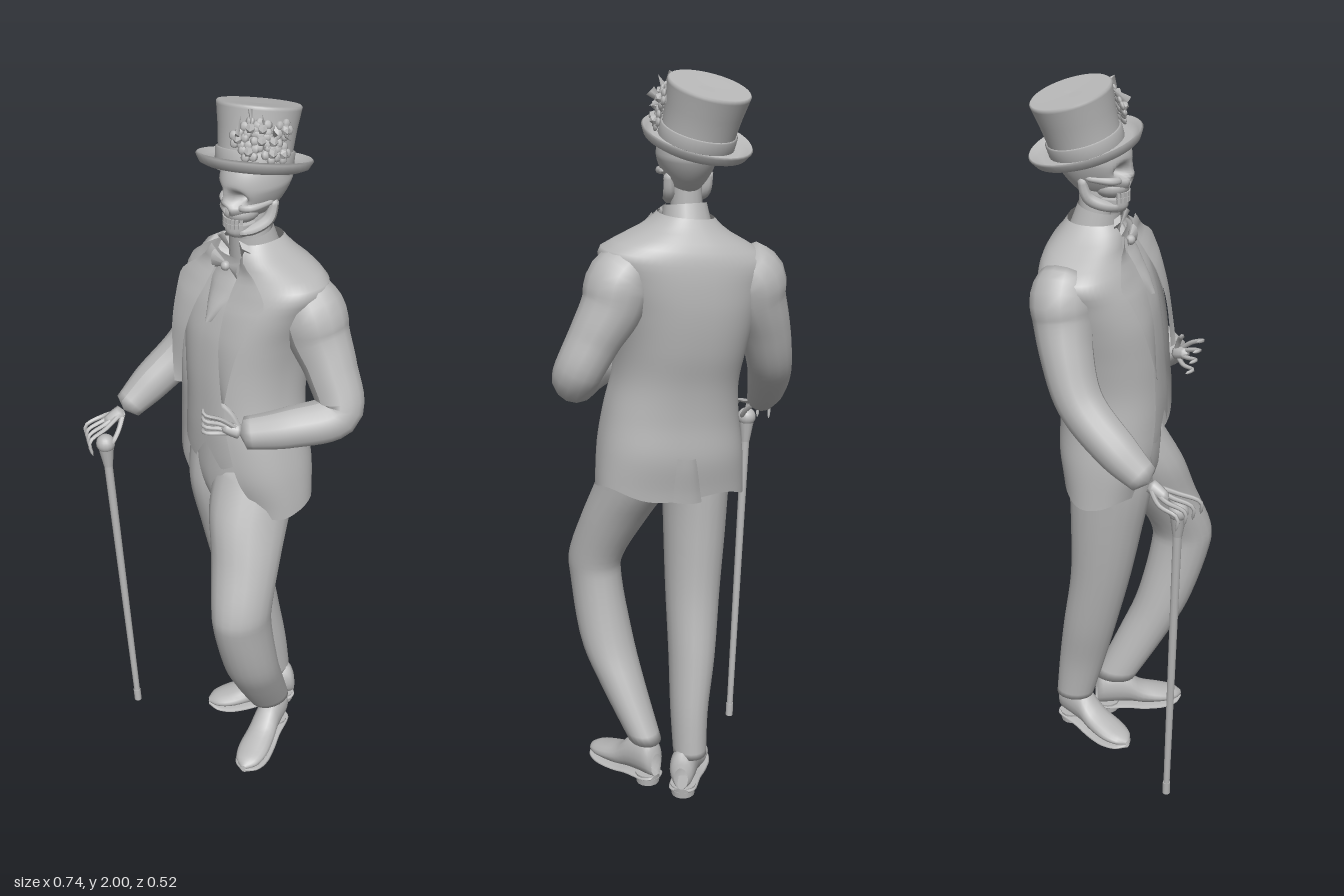
import * as THREE from 'three';

const cloth = new THREE.MeshStandardMaterial({ color: 0xb8b8b8, side: THREE.DoubleSide });
cloth.name = 'plain grey';
const V = (x, y, z) => new THREE.Vector3(x, y, z);

function add(parent, name, geo, pos) {
  const m = new THREE.Mesh(geo, cloth);
  m.name = name;
  if (pos) m.position.set(...pos);
  parent.add(m);
  return m;
}

// Smooth sample of a table of rows at a fractional row index
function at(rows, s) {
  const n = rows.length - 1, i = Math.min(n - 1, Math.max(0, Math.floor(s))), t = s - i;
  const [a, b, c, d] = [rows[Math.max(0, i - 1)], rows[i], rows[i + 1], rows[Math.min(n, i + 2)]];
  return b.map((p, k) => p + 0.5 * t * (c[k] - a[k] + t * (2 * a[k] - 5 * p + 4 * c[k] - d[k]
    + t * (3 * (p - c[k]) + d[k] - a[k]))));
}

// Grid surface from f(u, v); wrap joins the u direction
function grid(f, nu, nv, wrap = false) {
  const pos = [], idx = [], w = wrap ? nu : nu + 1;
  for (let j = 0; j <= nv; j++) for (let i = 0; i < w; i++) pos.push(...f(i / nu, j / nv));
  for (let j = 0; j < nv; j++) for (let i = 0; i < nu; i++) {
    const a = j * w + i, b = j * w + (i + 1) % w;
    idx.push(a, b, b + w, a, b + w, a + w);
  }
  const g = new THREE.BufferGeometry();
  g.setAttribute('position', new THREE.Float32BufferAttribute(pos, 3));
  g.setIndex(idx);
  g.computeVertexNormals();
  return g;
}

// Closed form of stacked ellipses: rows of cx, y, cz, rx, rz
function stack(rows, nu = 20, nv = 30) {
  const ends = [[...rows[0].slice(0, 3), 0, 0], [...rows.at(-1).slice(0, 3), 0, 0]];
  return grid((u, v) => {
    const j = Math.round(v * (nv + 2));
    const r = j === 0 ? ends[0] : j === nv + 2 ? ends[1] : at(rows, (j - 1) / nv * (rows.length - 1));
    const a = u * Math.PI * 2;
    return [r[0] + r[3] * Math.sin(a), r[1], r[2] + r[4] * Math.cos(a)];
  }, nu, nv + 2, true);
}

// Tapered tube: rows of x, y, z, radius
function limb(rows, n = 24, sides = 14) {
  const curve = new THREE.CatmullRomCurve3(rows.map(r => V(r[0], r[1], r[2])));
  const g = new THREE.TubeGeometry(curve, n, 1, sides), p = g.attributes.position;
  for (let j = 0; j <= n; j++) {
    const c = curve.getPointAt(j / n);
    const t = curve.getUtoTmapping(j / n) * (rows.length - 1);
    const r = j === 0 || j === n ? 0.0001 : at(rows, t)[3];
    for (let i = 0; i <= sides; i++) {
      const k = j * (sides + 1) + i;
      const q = V().fromBufferAttribute(p, k).sub(c).multiplyScalar(r).add(c);
      p.setXYZ(k, q.x, q.y, q.z);
    }
  }
  g.computeVertexNormals();
  return g;
}

// Torso rows: y, cx, cz, rx, rz
const TORSO = [
  [0.89, 0.035, -0.06, 0.205, 0.12], [1.0, 0.03, -0.05, 0.198, 0.145], [1.1, 0.025, -0.045, 0.182, 0.147],
  [1.2, 0.015, -0.05, 0.167, 0.15], [1.3, 0.005, -0.063, 0.172, 0.158], [1.4, 0, -0.076, 0.19, 0.157],
  [1.48, 0.003, -0.09, 0.212, 0.143], [1.54, 0.005, -0.104, 0.228, 0.122], [1.575, 0.005, -0.108, 0.175, 0.105],
  [1.61, 0.002, -0.095, 0.105, 0.09], [1.65, 0, -0.09, 0.065, 0.07]];
function rowAt(y) {
  let i = 0;
  while (i < TORSO.length - 2 && y > TORSO[i + 1][0]) i++;
  return at(TORSO, i + (y - TORSO[i][0]) / (TORSO[i + 1][0] - TORSO[i][0]));
}
function torso(a, y, off = 0) {
  const [, cx, cz, rx, rz] = rowAt(y), s = Math.sin(a), c = Math.cos(a);
  const x = cx + (rx + off) * Math.sign(s) * Math.abs(s) ** 0.85;
  return [x, y + 0.11 * x, cz + (rz + off) * Math.sign(c) * Math.abs(c) ** 0.85];
}
// Angle of the jacket's front edge at height y
const OPEN = [[0.15], [0.125], [0.105], [0.09], [0.085], [0.078], [0.068], [0.055], [0.048]];
function edge(y) {
  const x = at(OPEN, Math.min(8, Math.max(0, (y - 0.89) / 0.09)))[0];
  return Math.asin(Math.min(1, x / rowAt(y)[3]) ** (1 / 0.85));
}

function buildClothes(g) {
  add(g, 'jacket', grid((u, v) => {
    const y = 0.89 + 0.75 * v, e = edge(y);
    return torso(e + u * (Math.PI * 2 - 2 * e), y - 0.012 * Math.sin(u * 18) * (1 - v) ** 8);
  }, 56, 40));
  // Waistcoat with two points at the hem
  add(g, 'waistcoat', grid((u, v) => {
    const a = (u - 0.5) * 2.4, k = Math.abs(a);
    const low = k < 0.25 ? 1.09 - 0.28 * k : 1.02 + 0.09 * (k - 0.25);
    return torso(a, low + (1.6 - low) * v, -0.014);
  }, 40, 30));
  for (const s of [-1, 1]) {
    // Peaked lapel standing off the chest
    add(g, 'lapel', grid((u, v) => {
      const y = 1.24 + 0.37 * v;
      const w = v < 0.72 ? 0.08 + 0.62 * v : 0.526 - (v - 0.72) * 1.2;
      return torso(s * (edge(y) + w * u - 0.02), y + u * (v > 0.6 ? 0.015 : 0), 0.003 + 0.017 * u);
    }, 8, 24));
    const wing = add(g, 'bowTieWing', new THREE.ConeGeometry(0.026, 0.055, 8), [s * 0.024, 1.58, -0.006]);
    wing.rotation.z = s * Math.PI / 2;
    wing.scale.z = 0.5;
    const point = add(g, 'shirtCollarWing', new THREE.ConeGeometry(0.022, 0.06, 4), [s * 0.033, 1.62, -0.03]);
    point.rotation.set(0.3, 0, s * 2.6);
    point.scale.z = 0.4;
  }
  add(g, 'bowTieKnot', new THREE.SphereGeometry(0.013, 10, 8), [0, 1.58, 0]);
  // Cravat tapering down into the waistcoat
  add(g, 'cravat', grid((u, v) => torso((u - 0.5) * (0.06 + 0.5 * v), 1.44 + 0.14 * v,
    -0.014 + 0.012 * Math.cos((u - 0.5) * Math.PI)), 8, 10));
  add(g, 'shirtCollar', new THREE.CylinderGeometry(0.056, 0.068, 0.07, 20, 1, true), [0, 1.63, -0.09]).rotation.x = 0.2;
  add(g, 'backVent', grid((u, v) => torso(Math.PI - 0.1 + u * 0.3 * (1 - 0.4 * v), 0.88 + 0.13 * v,
    0.012 * Math.sin(u * 3.1)), 6, 6));
  add(g, 'hips', stack([[0.025, 1.12, -0.05, 0.15, 0.12], [0.025, 0.98, -0.045, 0.15, 0.12], [0.035, 0.9, -0.035, 0.09, 0.1], [0.035, 0.865, -0.03, 0.04, 0.07]]));
  add(g, 'rightTrouserLeg', stack([
    [-0.045, 1.02, -0.05, 0.1, 0.11], [-0.045, 0.9, -0.045, 0.09, 0.117], [-0.037, 0.75, -0.06, 0.084, 0.102],
    [-0.025, 0.58, -0.082, 0.075, 0.087], [-0.01, 0.4, -0.12, 0.064, 0.078], [0.008, 0.25, -0.152, 0.052, 0.068],
    [0.015, 0.12, -0.178, 0.046, 0.055]]));
  add(g, 'leftTrouserLeg', stack([
    [0.08, 1.02, -0.05, 0.11, 0.11], [0.112, 0.9, 0, 0.104, 0.12], [0.157, 0.78, 0.05, 0.093, 0.1],
    [0.2, 0.65, 0.1, 0.077, 0.09], [0.203, 0.57, 0.1, 0.072, 0.087], [0.187, 0.4, 0.055, 0.075, 0.08],
    [0.16, 0.28, 0, 0.064, 0.074], [0.118, 0.13, -0.08, 0.046, 0.062]]));
  add(g, 'leftSleeve', limb([[0.14, 1.545, -0.125, 0.065], [0.19, 1.49, -0.13, 0.085], [0.21, 1.43, -0.135, 0.082], [0.258, 1.35, -0.138, 0.07],
    [0.308, 1.245, -0.125, 0.062], [0.25, 1.215, -0.01, 0.055], [0.17, 1.195, 0.09, 0.043]], 36));
  add(g, 'rightSleeve', limb([[-0.125, 1.525, -0.13, 0.065], [-0.17, 1.475, -0.135, 0.083], [-0.18, 1.42, -0.13, 0.08], [-0.21, 1.34, -0.115, 0.07],
    [-0.247, 1.22, -0.07, 0.062], [-0.285, 1.11, 0.04, 0.055], [-0.302, 1.04, 0.125, 0.04]], 36));
}

// Shoe with toe towards local +z; rows of z, half width, base, top
function buildShoe(g, name, x, z, turn) {
  const shoe = new THREE.Group();
  const rows = [[-0.12, 0.02, 0.03, 0.1], [-0.1, 0.036, 0.028, 0.14], [-0.03, 0.038, 0.022, 0.13],
    [0.02, 0.043, 0.014, 0.085], [0.08, 0.046, 0.012, 0.06], [0.125, 0.034, 0.014, 0.045], [0.148, 0.008, 0.018, 0.03]];
  const body = top => grid((u, v) => {
    const [pz, w, b, t] = at(rows, v * 6), a = u * Math.PI * 2;
    const h = top ? t - b : 0.014, lift = top ? b : b - 0.012;
    return [(top ? w : w * 1.08) * Math.cos(a), lift + h * (0.5 + 0.5 * Math.sin(a)), pz];
  }, 16, 20, true);
  add(shoe, 'upper', body(true));
  add(shoe, 'sole', body(false));
  add(shoe, 'heel', new THREE.CylinderGeometry(0.036, 0.033, 0.032, 14), [0, 0.016, -0.085]);
  shoe.name = name;
  shoe.position.set(x, 0, z);
  shoe.rotation.y = turn;
  g.add(shoe);
}

function buildHead(g) {
  const head = new THREE.Group();
  head.name = 'skull';
  // Cranium and face with hollow eyes and nose
  const geo = new THREE.SphereGeometry(1, 56, 48), p = geo.attributes.position;
  for (let i = 0; i < p.count; i++) {
    let x = p.getX(i), y = p.getY(i), z = p.getZ(i);
    const low = Math.max(0, -y), front = z > 0.2;
    x *= 0.075 * (1 - 0.3 * low);
    y = 1.79 + y * 0.1;
    z = -0.095 + z * (z > 0 ? 0.1 + 0.05 * low : 0.105 * (1 - 0.35 * low));
    const dent = (cx, cy, r) => Math.exp(-((x - cx) ** 2 + (y - cy) ** 2) / (r * r));
    if (front) z -= 0.05 * (dent(0.029, 1.768, 0.017) + dent(-0.029, 1.768, 0.017)) + 0.03 * dent(0, 1.735, 0.011);
    p.setXYZ(i, x, y, z);
  }
  geo.computeVertexNormals();
  add(head, 'cranium', geo);
  add(head, 'upperJaw', new THREE.SphereGeometry(1, 20, 14), [0, 1.722, -0.052]).scale.set(0.045, 0.032, 0.05);
  add(head, 'chin', stack([[0, 1.658, -0.045, 0.026, 0.03], [0, 1.672, -0.047, 0.034, 0.041], [0, 1.695, -0.05, 0.037, 0.043]], 20, 8));
  for (const s of [-1, 1]) {
    add(head, 'cheekbone', limb([[s * 0.025, 1.744, -0.016, 0.008], [s * 0.052, 1.746, -0.035, 0.01], [s * 0.064, 1.753, -0.1, 0.007]], 12, 8));
    add(head, 'jawBranch', limb([[s * 0.055, 1.755, -0.115, 0.011], [s * 0.048, 1.7, -0.1, 0.016], [s * 0.036, 1.678, -0.06, 0.015],
      [s * 0.015, 1.672, -0.022, 0.012]], 16, 8));
  }
  // Two rows of teeth
  for (let i = -4; i <= 4; i++) for (const y of [1.691, 1.705]) {
    const a = i * 0.24;
    add(head, 'tooth', new THREE.BoxGeometry(0.008, 0.013, 0.01), [0.038 * Math.sin(a), y, -0.05 + 0.044 * Math.cos(a)]).rotation.y = a;
  }
  add(head, 'neck', new THREE.CylinderGeometry(0.038, 0.045, 0.16, 16), [0, 1.65, -0.095]);
  g.add(head);
}

function buildHat(g) {
  const hat = new THREE.Group();
  hat.name = 'topHat';
  const lathe = pts => new THREE.LatheGeometry(pts.map(q => new THREE.Vector2(...q)), 40);
  add(hat, 'crown', lathe([[0.094, -0.02], [0.094, 0.04], [0.099, 0.09], [0.106, 0.138], [0.107, 0.145], [0.103, 0.149], [0, 0.145]]));
  add(hat, 'band', lathe([[0.095, 0.003], [0.099, 0.005], [0.1, 0.035], [0.095, 0.037]]));
  add(hat, 'brim', lathe([[0.09, -0.006], [0.12, -0.012], [0.14, -0.004], [0.151, 0.015], [0.147, 0.02], [0.136, 0.008], [0.118, 0], [0.09, 0.004]])).scale.x = 0.95;
  // Flowers and leaves on the hat's left front
  for (let i = 0; i < 9; i++) {
    const a = 0.1 + (i % 5) * 0.25, y = 0.04 + (i % 3) * 0.028;
    const f = new THREE.Group();
    f.name = 'flower';
    add(f, 'bud', new THREE.IcosahedronGeometry(0.013, 0), [0, 0, 0.006]);
    for (let k = 0; k < 5; k++) {
      const t = k * Math.PI * 0.4 + i;
      add(f, 'petal', new THREE.SphereGeometry(0.012, 6, 5), [0.016 * Math.cos(t), 0.016 * Math.sin(t), 0]).scale.z = 0.5;
    }
    f.position.set(0.112 * Math.cos(a), y, 0.112 * Math.sin(a));
    f.rotation.y = Math.PI / 2 - a;
    hat.add(f);
    if (i % 2) continue;
    const leaf = add(hat, 'leaf', new THREE.ConeGeometry(0.014, 0.055, 4), [0.116 * Math.cos(a), 0.085 + 0.014 * (i % 3), 0.116 * Math.sin(a)]);
    leaf.rotation.set(0.3, -a, i * 0.7 - 2);
    leaf.scale.z = 0.4;
  }
  hat.position.set(-0.02, 1.823, -0.107);
  hat.quaternion.setFromUnitVectors(V(0, 1, 0), V(-0.027, 0.155, -0.038).normalize());
  g.add(hat);
}

// Bony hand: wrist, knuckle centre, spread direction, bend point and tip offsets
function buildHand(g, name, wrist, knuckle, spread, bend, tip, thumb) {
  const hand = new THREE.Group();
  hand.name = name;
  add(hand, 'wristBones', limb([[...wrist, 0.02], [...wrist.map((w, k) => w * 0.5 + knuckle[k] * 0.5), 0.018], [...knuckle, 0.012]], 8, 8));
  for (let i = 0; i < 4; i++) {
    const k = (i - 1.5) * 0.018;
    const pt = (o, f) => [0, 1, 2].map(j => knuckle[j] + o[j] + spread[j] * k * f);
    const ray = [wrist, pt([0, 0, 0], 1), pt(bend, 1.3), pt(tip, 1.4)];
    add(hand, 'finger', limb(ray.map((q, j) => [...q, 0.0075 - 0.001 * j]), 14, 6));
  }
  add(hand, 'thumb', limb([[...wrist, 0.008], ...thumb.map(q => [...q, 0.007])], 10, 6));
  g.add(hand);
}

export function createModel() {
  const g = new THREE.Group();
  g.name = 'skeletonGentleman';
  buildClothes(g);
  buildShoe(g, 'leftShoe', 0.154, -0.028, 0.46);
  buildShoe(g, 'rightShoe', 0.0, -0.122, -0.5);
  buildHead(g);
  buildHat(g);
  buildHand(g, 'leftHand', [0.175, 1.2, 0.085], [0.14, 1.215, 0.125], [0.4, 1.1, 0.3],
    [-0.025, 0.01, 0.035], [-0.05, 0.01, 0.02], [[0.15, 1.25, 0.1], [0.125, 1.275, 0.115]]);
  buildHand(g, 'rightHand', [-0.302, 1.04, 0.125], [-0.32, 1.012, 0.18], [-1.2, -0.1, -0.6],
    [-0.005, -0.02, 0.055], [0.002, -0.062, 0.052], [[-0.275, 1.0, 0.165], [-0.27, 0.965, 0.195]]);
  // Walking cane with a round knob
  const top = V(-0.29, 0.965, 0.2), foot = V(-0.235, 0, 0.165), dir = top.clone().sub(foot);
  const cane = new THREE.Group();
  cane.name = 'cane';
  add(cane, 'shaft', new THREE.CylinderGeometry(0.0125, 0.009, dir.length(), 12), [0, dir.length() / 2, 0]);
  add(cane, 'ferrule', new THREE.CylinderGeometry(0.011, 0.011, 0.04, 12), [0, 0.02, 0]);
  add(cane, 'collar', new THREE.CylinderGeometry(0.022, 0.013, 0.06, 12), [0, dir.length() - 0.045, 0]);
  add(cane, 'knob', new THREE.SphereGeometry(0.027, 16, 12), [0, dir.length(), 0]);
  cane.position.copy(foot);
  cane.quaternion.setFromUnitVectors(V(0, 1, 0), dir.normalize());
  g.add(cane);
  return g;
}
